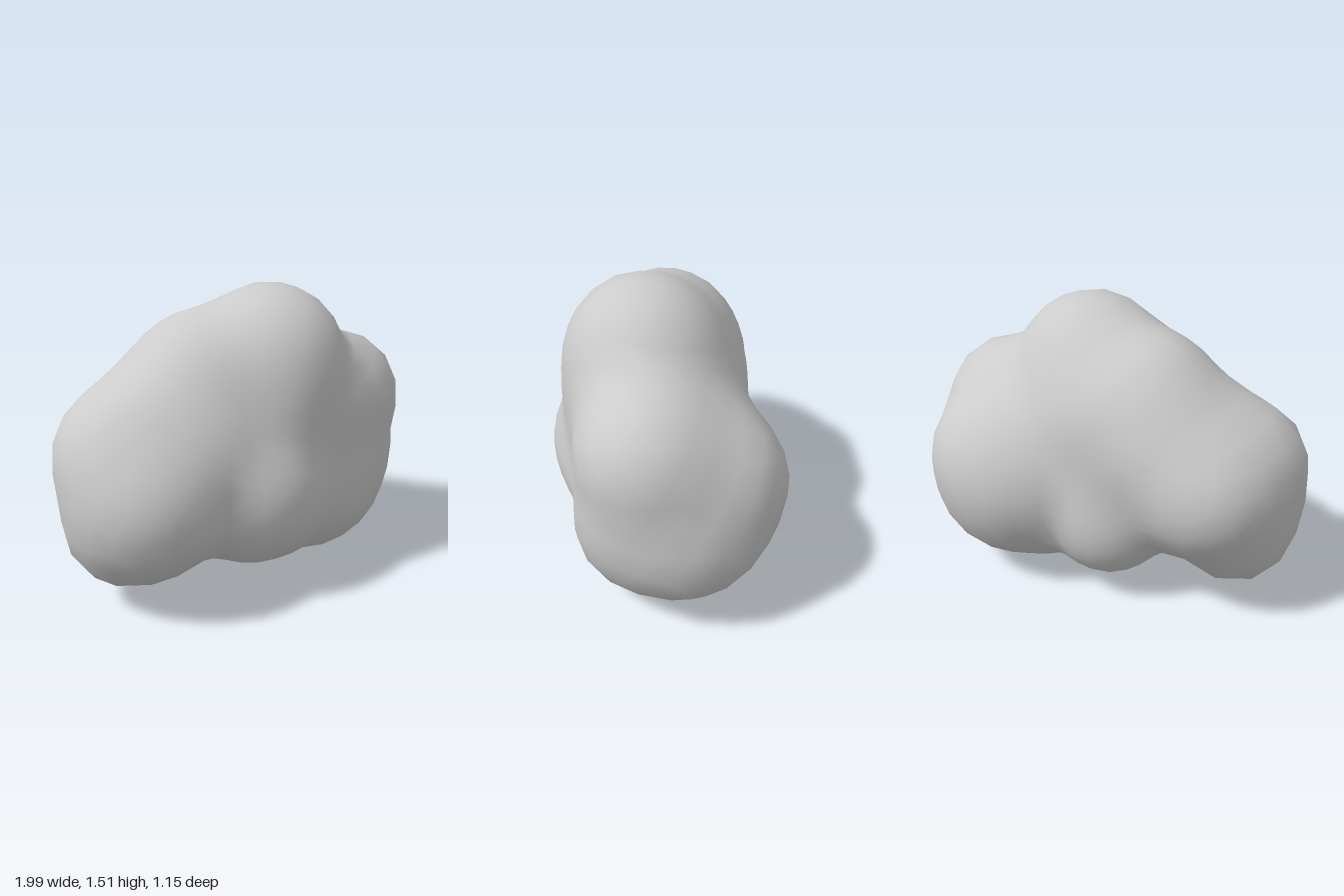
import * as THREE from 'three';
import { mergeVertices } from 'three/addons/utils/BufferGeometryUtils.js';

// Lumps that melt together into the boulder: x, y, z, radius
const LUMPS = [
  [0, 0.7, 0, 0.42],           // core
  [-0.59, 0.56, 0.11, 0.39],   // -x end, front
  [-0.54, 0.68, -0.15, 0.365], // -x end, back
  [-0.69, 0.77, 0.01, 0.285],  // -x shoulder
  [-0.45, 0.86, 0, 0.29],      // slope up to the crown
  [-0.66, 0.39, 0, 0.29],      // -x foot
  [0.15, 1.12, 0.09, 0.38],    // crown
  [0.1, 0.9, 0.12, 0.36],      // front below the crown
  [-0.18, 1.02, -0.03, 0.36],  // crown ridge
  [-0.3, 0.85, -0.1, 0.36],    // ridge down the back
  [0.05, 0.94, -0.06, 0.35],
  [0, 0.5, -0.1, 0.33],        // back hollow
  [-0.04, 0.4, -0.15, 0.3],    // low back
  [-0.3, 0.75, 0.08, 0.35],    // broad front face
  [0.3, 0.72, 0.06, 0.36],
  [-0.07, 0.51, 0.18, 0.385],  // front bulge
  [0.1, 0.46, 0.15, 0.36],
  [0.4, 0.36, 0.03, 0.36],     // underside
  [0.5, 0.37, 0.11, 0.32],
  [0.6, 0.54, 0.1, 0.32],      // +x end, front
  [0.63, 0.86, 0.09, 0.335],   // +x shoulder
  [0.4, 0.88, 0.08, 0.31],     // saddle between crown and +x shoulder
  [0.35, 0.84, -0.06, 0.31],
  [0.63, 0.47, -0.07, 0.36],   // +x end, low
  [0.45, 0.59, -0.22, 0.34],   // +x end, back
  [0.58, 0.69, -0.2, 0.33],
  [0.5, 0.45, -0.18, 0.32],
];
const BLEND = 0.045;

// Smoothly blended distance to all lumps
function distance(p) {
  let sum = 0;
  for (const [x, y, z, r] of LUMPS) {
    const d = Math.hypot(p.x - x, p.y - y, p.z - z) - r;
    sum += Math.exp(-d / BLEND);
  }
  return -BLEND * Math.log(sum);
}

export function createModel() {
  const group = new THREE.Group();
  group.name = 'boulder';

  // Sphere whose vertices are pushed out to the blended surface
  let geometry = new THREE.IcosahedronGeometry(1, 7);
  geometry.deleteAttribute('normal');
  geometry.deleteAttribute('uv');
  geometry = mergeVertices(geometry, 1e-4);
  const centre = new THREE.Vector3(0, 0.68, 0);
  const position = geometry.attributes.position;
  const dir = new THREE.Vector3();
  const p = new THREE.Vector3();
  for (let i = 0; i < position.count; i++) {
    dir.fromBufferAttribute(position, i).normalize();
    let near = 0;
    let far = 1.5;
    for (let step = 0; step < 24; step++) {
      const mid = (near + far) / 2;
      p.copy(centre).addScaledVector(dir, mid);
      if (distance(p) < 0) near = mid;
      else far = mid;
    }
    p.copy(centre).addScaledVector(dir, near);
    position.setXYZ(i, p.x, p.y, p.z);
  }
  geometry.computeVertexNormals();

  const rock = new THREE.Mesh(
    geometry,
    new THREE.MeshStandardMaterial({ color: 0xcccccc })
  );
  rock.name = 'rock';
  group.add(rock);
  return group;
}
